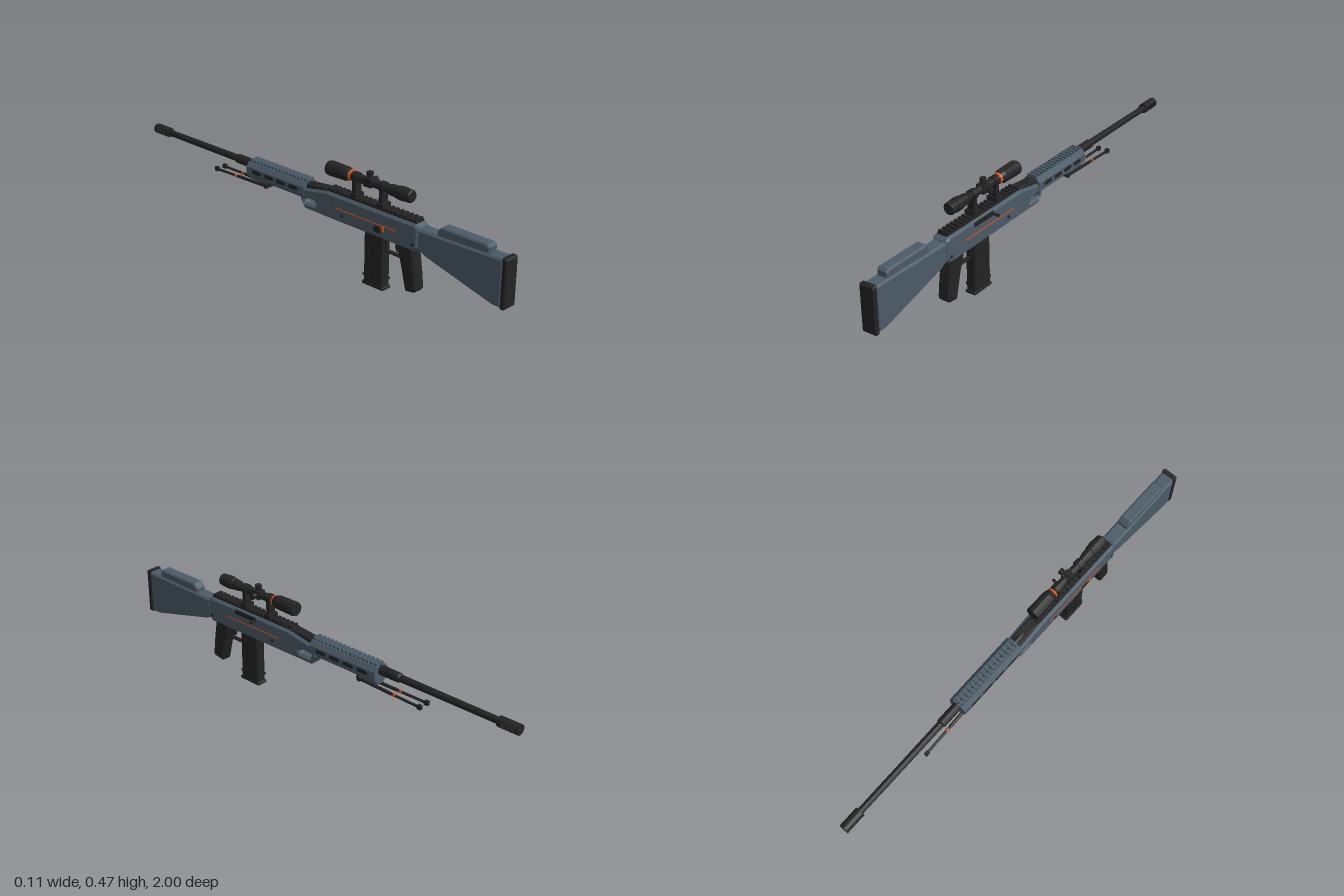
import * as THREE from 'three';

const mat = (name, color) => Object.assign(new THREE.MeshStandardMaterial({ color, flatShading: true }), { name });

export function createModel() {
  const slate = mat('slate', 0x4b5b68);
  const black = mat('black', 0x232323);
  const orange = mat('orange', 0xd0501c);

  const model = new THREE.Group();
  model.name = 'rifle';
  const body = new THREE.Group();
  body.name = 'rifleBody';
  body.position.x = -0.0125;
  model.add(body);

  const add = (name, geo, material) => {
    const m = new THREE.Mesh(geo, material);
    m.name = name;
    body.add(m);
    return m;
  };
  // Box given by its centre and size
  const box = (name, material, x, y, z, w, h, d) =>
    add(name, new THREE.BoxGeometry(w, h, d).translate(x, y, z), material);
  // Side outline of [z, y] points, extruded across x with bevelled edges
  const shapeOf = pts => new THREE.Shape(pts.map(([z, y]) => new THREE.Vector2(-z, y)));
  const side = (name, material, pts, half, bevel = 0.006, holes = [], x = 0) => {
    const s = shapeOf(pts);
    s.holes = holes.map(shapeOf);
    const geo = new THREE.ExtrudeGeometry(s, {
      depth: 2 * (half - bevel), bevelEnabled: bevel > 0, bevelThickness: bevel,
      bevelSize: bevel, bevelOffset: -bevel, bevelSegments: 1, curveSegments: 6,
    });
    geo.translate(0, 0, -(half - bevel)).rotateY(Math.PI / 2).translate(x, 0, 0);
    return add(name, geo, material);
  };
  // Slot outline with cut corners
  const slot = (z0, z1, y0, y1, c = 0.006) => [
    [z0 - c, y0], [z1 + c, y0], [z1, y0 + c], [z1, y1 - c],
    [z1 + c, y1], [z0 - c, y1], [z0, y1 - c], [z0, y0 + c]];
  // Turned part along z, from [z, radius] points running from rear to front
  const turned = (name, material, pts, y, x = 0, sides = 12) => {
    const prof = [[pts[0][0], 0], ...pts, [pts[pts.length - 1][0], 0]];
    const geo = new THREE.LatheGeometry(prof.map(([z, r]) => new THREE.Vector2(r, -z)), sides);
    return add(name, geo.rotateX(-Math.PI / 2).translate(x, y, 0), material);
  };
  // Rod between two points
  const rod = (name, material, a, b, r, sides = 8) => {
    const p = new THREE.Vector3(...a), q = new THREE.Vector3(...b);
    const m = add(name, new THREE.CylinderGeometry(r, r, p.distanceTo(q), sides), material);
    m.position.copy(p).lerp(q, 0.5);
    m.quaternion.setFromUnitVectors(new THREE.Vector3(0, 1, 0), q.sub(p).normalize());
    return m;
  };

  // Stock
  side('stock', slate, [[0.982, 0.138], [0.982, 0.331], [0.585, 0.323], [0.585, 0.24], [0.62, 0.222], [0.94, 0.138]], 0.031, 0.008);
  side('buttPad', black, [[1, 0.14], [1, 0.33], [0.995, 0.336], [0.978, 0.336], [0.978, 0.135], [0.995, 0.135]], 0.033, 0.004);
  side('cheekRest', slate, [[0.915, 0.325], [0.915, 0.352], [0.905, 0.362], [0.695, 0.362], [0.675, 0.342], [0.675, 0.32]], 0.025, 0.006);

  // Receiver with two through slots in its nose
  side('receiver', slate,
    [[0.592, 0.245], [0.592, 0.326], [0.575, 0.338], [0.115, 0.338], [0.0, 0.318], [-0.036, 0.31],
      [-0.036, 0.268], [-0.01, 0.229], [0.575, 0.226]],
    0.036, 0.009, [slot(0.13, 0.066, 0.256, 0.276), slot(0.055, -0.01, 0.256, 0.276)]);

  // Receiver rail and its teeth
  box('receiverRail', black, 0, 0.339, 0.342, 0.046, 0.012, 0.465);
  for (let i = 0; i < 20; i++) box('receiverRailTooth', black, 0, 0.348, 0.565 - i * 0.0235, 0.044, 0.01, 0.013);
  side('barrelShroud', black, [[0.115, 0.32], [0.115, 0.344], [0.09, 0.344], [-0.01, 0.334], [-0.01, 0.305]], 0.024, 0.005);

  // Markings, pins and controls on the receiver
  for (const s of [-1, 1]) {
    box('accentLine', orange, s * 0.0365, 0.284, 0.328, 0.003, 0.004, 0.315);
    for (const [z, y] of [[0.57, 0.256], [0.205, 0.262]])
      rod('receiverPin', black, [s * 0.03, y, z], [s * 0.039, y, z], 0.007);
  }
  side('ejectionPort', black, slot(0.425, 0.3, 0.314, 0.332, 0.003), 0.004, 0, [], 0.034);
  rod('boltHandle', black, [0.02, 0.321, 0.305], [0.056, 0.321, 0.305], 0.005);
  rod('boltKnob', black, [0.052, 0.321, 0.305], [0.064, 0.321, 0.305], 0.0065);
  box('selectorPlate', black, -0.0365, 0.263, 0.392, 0.004, 0.026, 0.034);
  box('selectorSwitch', orange, -0.0385, 0.272, 0.42, 0.005, 0.018, 0.014);

  // Grip, trigger and guard
  side('grip', black,
    [[0.56, 0.235], [0.48, 0.235], [0.483, 0.205], [0.502, 0.15], [0.528, 0.044], [0.572, 0.05], [0.584, 0.064], [0.576, 0.13]],
    0.028, 0.008);
  side('trigger', black, [[0.478, 0.23], [0.462, 0.23], [0.458, 0.2], [0.465, 0.182], [0.471, 0.184], [0.467, 0.2]], 0.006, 0.001);
  box('triggerGuard', black, 0, 0.168, 0.45, 0.018, 0.007, 0.1);
  box('triggerGuardPost', black, 0, 0.197, 0.412, 0.018, 0.064, 0.008);

  // Magazine with pressed ribs and a base plate
  side('magazine', black, [[0.409, 0.235], [0.311, 0.235], [0.311, 0.008], [0.409, 0.008]], 0.023, 0.005);
  for (const s of [-1, 1]) for (const z of [0.335, 0.36, 0.385])
    box('magazineRib', black, s * 0.023, 0.12, z, 0.003, 0.18, 0.008);
  side('magazineBase', black, slot(0.415, 0.305, 0, 0.014, 0.003), 0.025, 0.003);
  box('magazineBand', black, 0, 0.042, 0.36, 0.048, 0.008, 0.102);

  // Handguard: eight-sided tube with dark side slots and a toothed top
  const oct = [[0.022, 0.268], [0.04, 0.286], [0.04, 0.32], [0.024, 0.339]];
  const ring = [...oct, ...oct.map(([x, y]) => [-x, y]).reverse()];
  add('handguard', new THREE.ExtrudeGeometry(new THREE.Shape(ring.map(p => new THREE.Vector2(...p))),
    { depth: 0.344, bevelEnabled: false }).translate(0, 0, -0.352), slate);
  for (let i = 0; i < 16; i++) box('handguardTooth', slate, 0, 0.343, -0.016 - i * 0.0215, 0.042, 0.013, 0.012);
  for (const s of [-1, 1]) for (let i = 0; i < 4; i++)
    side('handguardSlot', black, slot(-0.042 - i * 0.073, -0.096 - i * 0.073, 0.297, 0.314, 0.006), 0.002, 0, [], s * 0.0395);
  box('bipodRail', slate, 0, 0.268, -0.3, 0.036, 0.018, 0.1);

  // Barrel
  turned('barrel', black, [[0.1, 0.02], [-0.36, 0.02], [-0.445, 0.02], [-0.452, 0.015], [-0.92, 0.014]], 0.32);

  // Muzzle brake: top and bottom caps joined by solid ribs, open between
  const R = 0.022, t = 0.5;
  for (const up of [0, Math.PI]) {
    const arc = new THREE.Shape().absarc(0, 0, R, t + up, Math.PI - t + up, false);
    add('muzzleCap', new THREE.ExtrudeGeometry(arc, { depth: 0.088, bevelEnabled: false, curveSegments: 5 })
      .translate(0, 0.32, -0.998), black);
  }
  for (const [a, b] of [[-0.908, -0.926], [-0.943, -0.949], [-0.963, -0.969], [-0.984, -1]])
    turned('muzzleRib', black, [[a, R], [b, R]], 0.32);

  // Folded bipod
  box('bipodMount', black, 0, 0.258, -0.262, 0.034, 0.018, 0.045);
  for (const s of [-1, 1]) {
    const x0 = s * 0.015, x1 = s * 0.022;
    rod('bipodHinge', black, [x0 - s * 0.006, 0.25, -0.255], [x0 + s * 0.008, 0.25, -0.255], 0.01);
    rod('bipodLeg', black, [x0, 0.25, -0.25], [x1, 0.246, -0.56], 0.0055);
    rod('bipodSleeve', black, [x0, 0.25, -0.26], [s * 0.019, 0.248, -0.42], 0.007);
    rod('bipodRing', orange, [s * 0.0195, 0.248, -0.433], [s * 0.0197, 0.2478, -0.443], 0.0078);
    box('bipodFoot', black, x1, 0.247, -0.562, 0.014, 0.018, 0.018);
  }

  // Scope
  const sy = 0.428;
  turned('scopeTube', black,
    [[0.533, 0.022], [0.528, 0.026], [0.46, 0.026], [0.455, 0.023], [0.435, 0.023], [0.41, 0.017],
      [0.235, 0.017], [0.2, 0.029], [0.108, 0.031], [0.1, 0.029]], sy);
  turned('scopeRing', orange, [[0.229, 0.0215], [0.219, 0.0245]], sy);
  turned('scopeFocusRing', black, [[0.5, 0.028], [0.475, 0.028]], sy);
  box('turretBlock', black, 0, sy, 0.317, 0.036, 0.036, 0.04);
  rod('topTurret', black, [0, sy, 0.317], [0, 0.462, 0.317], 0.011, 12);
  rod('topTurretCap', black, [0, 0.455, 0.317], [0, 0.47, 0.317], 0.014, 12);
  rod('sideTurret', black, [0, sy, 0.317], [0.034, sy, 0.317], 0.011, 12);
  rod('sideTurretCap', black, [0.028, sy, 0.317], [0.04, sy, 0.317], 0.014, 12);
  for (const z of [0.388, 0.248]) {
    turned('scopeClamp', black, [[z + 0.012, 0.022], [z - 0.012, 0.022]], sy);
    box('scopePost', black, 0, 0.383, z, 0.034, 0.06, 0.018);
    box('scopeFoot', black, 0, 0.356, z, 0.05, 0.016, 0.032);
  }
  return model;
}
